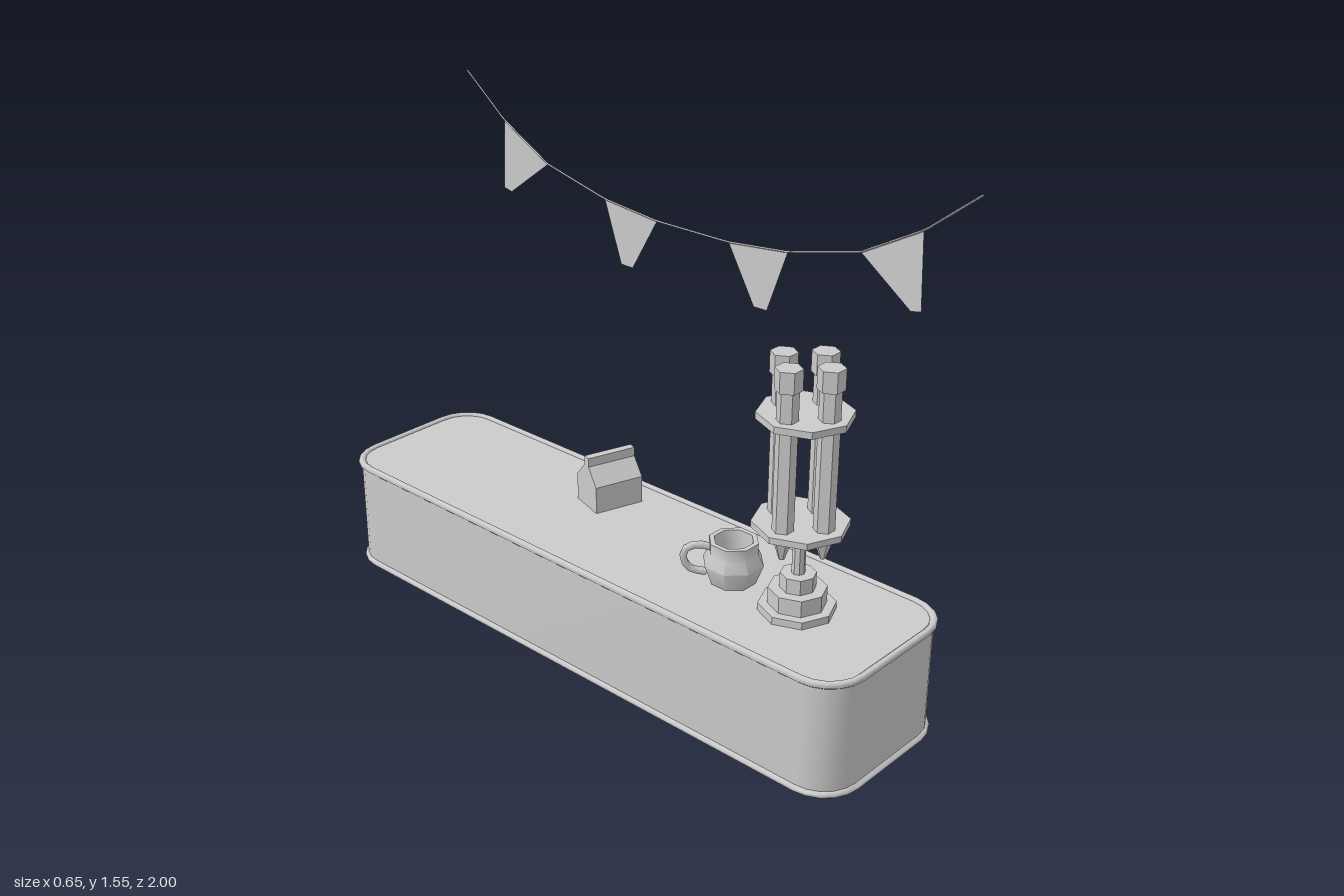
import * as THREE from 'three';
import { toCreasedNormals } from 'three/addons/utils/BufferGeometryUtils.js';

const grey = new THREE.MeshStandardMaterial({ color: 0xcccccc });
const flat = new THREE.MeshStandardMaterial({ color: 0xcccccc, flatShading: true });
const thin = new THREE.MeshStandardMaterial({ color: 0xcccccc, side: THREE.DoubleSide });

const CX = -0.0525, HX = 0.2625, HZ = 0.99, TOP = 0.36;

function add(parent, name, geometry, material = grey, x = 0, y = 0, z = 0) {
  const mesh = new THREE.Mesh(geometry, material);
  mesh.name = name;
  mesh.position.set(x, y, z);
  parent.add(mesh);
  return mesh;
}

// Upright cylinder spanning y0..y1
function column(parent, name, r0, r1, y0, y1, sides, x = 0, z = 0, turn = 0) {
  const mesh = add(parent, name, new THREE.CylinderGeometry(r1, r0, y1 - y0, sides), flat, x, (y0 + y1) / 2, z);
  mesh.rotation.y = turn;
  return mesh;
}

// Rounded rectangle in plan, grown by an offset; points are [x, z]
function outline(offset) {
  const r = 0.115, steps = 5, points = [];
  [[1, 1], [-1, 1], [-1, -1], [1, -1]].forEach(([sx, sz], q) => {
    for (let i = 0; i <= steps; i++) {
      const a = (q + i / steps) * Math.PI / 2;
      points.push([
        CX + sx * (HX - r) + Math.cos(a) * (r + offset),
        sz * (HZ - r) + Math.sin(a) * (r + offset)]);
    }
  });
  return points;
}

// Skin a list of [offset, y] rings around the counter outline
function loft(profile) {
  const positions = [], index = [], n = outline(0).length;
  for (const [offset, y] of profile) outline(offset).forEach(([x, z]) => positions.push(x, y, z));
  for (let j = 0; j < profile.length - 1; j++) {
    for (let i = 0; i < n; i++) {
      const k = (i + 1) % n;
      const a = j * n + i, b = j * n + k, c = a + n, d = b + n;
      index.push(a, c, b, b, c, d);
    }
  }
  const g = new THREE.BufferGeometry();
  g.setAttribute('position', new THREE.Float32BufferAttribute(positions, 3));
  g.setIndex(index);
  return toCreasedNormals(g, 0.9);
}

function makeCounter() {
  const counter = new THREE.Group();
  counter.name = 'counter';
  add(counter, 'counterWall', loft([[0, 0.005], [0, TOP]]), thin);
  const top = new THREE.ShapeGeometry(new THREE.Shape(outline(0).map(([x, z]) => new THREE.Vector2(x, -z))));
  top.rotateX(-Math.PI / 2);
  add(counter, 'counterTop', top, thin, 0, TOP - 0.002);
  // Rounded trim bands at the foot and the top edge
  for (const [name, y] of [['bottomTrim', 0.01], ['topTrim', 0.355]]) {
    const ring = [];
    for (let i = 0; i <= 8; i++) {
      const a = i / 8 * Math.PI * 2 + Math.PI / 8;
      ring.push([-0.001 + 0.0119 * Math.cos(a), y + 0.0108 * Math.sin(a)]);
    }
    add(counter, name, loft(ring), thin);
  }
  return counter;
}

// Octagonal plate with a dome, facing +x
function makeLamp(z) {
  const lamp = new THREE.Group();
  lamp.name = 'domeLamp';
  const plate = new THREE.CylinderGeometry(0.13, 0.13, 0.035, 8);
  add(lamp, 'lampPlate', plate, flat, 0, 0.0175);
  add(lamp, 'lampDome', new THREE.SphereGeometry(0.086, 8, 5, 0, Math.PI * 2, 0, Math.PI / 2), grey, 0, 0.034);
  lamp.rotation.z = -Math.PI / 2;
  lamp.position.set(0.206, 0.187, z);
  return lamp;
}

function makeDispenser() {
  const g = new THREE.Group();
  g.name = 'dispenser';
  column(g, 'base', 0.11, 0.11, TOP - 0.003, 0.38, 8);
  column(g, 'middleTier', 0.083, 0.083, 0.38, 0.43, 8);
  column(g, 'upperTier', 0.051, 0.051, 0.43, 0.475, 8);
  column(g, 'stem', 0.019, 0.019, 0.47, 0.63, 8);
  column(g, 'lowerPlate', 0.136, 0.136, 0.619, 0.638, 8);
  column(g, 'upperPlate', 0.133, 0.133, 0.941, 0.961, 8);
  // Four tubes with caps and tapered nozzles
  for (let i = 0; i < 4; i++) {
    const x = 0.078 * Math.cos(i * Math.PI / 2), z = 0.078 * Math.sin(i * Math.PI / 2);
    column(g, 'nozzle', 0.008, 0.031, 0.549, 0.62, 6, x, z, Math.PI / 2);
    column(g, 'tube', 0.03, 0.03, 0.62, 1.05, 6, x, z, Math.PI / 2);
    column(g, 'cap', 0.038, 0.038, 1.047, 1.108, 6, x, z, Math.PI / 2);
  }
  g.position.set(-0.053, 0, 0.66);
  return g;
}

function makeMug() {
  const g = new THREE.Group();
  g.name = 'mug';
  const profile = [[0, 0], [0.068, 0], [0.09, 0.06], [0.073, 0.095], [0.073, 0.129],
    [0.058, 0.129], [0.056, 0.09], [0.052, 0.02], [0, 0.02]].map(p => new THREE.Vector2(...p));
  const body = new THREE.LatheGeometry(profile, 8, Math.PI / 8);
  add(g, 'mugBody', toCreasedNormals(body, 0.85), thin);
  const path = new THREE.CatmullRomCurve3([[0.066, 0.107], [0.105, 0.116], [0.138, 0.1], [0.142, 0.07],
    [0.12, 0.038], [0.076, 0.028]].map(([x, y]) => new THREE.Vector3(x, y, 0)));
  add(g, 'mugHandle', new THREE.TubeGeometry(path, 8, 0.011, 6), grey);
  // Handle points to the back right
  g.rotation.y = Math.PI * 0.75;
  g.position.set(-0.053, TOP, 0.43);
  return g;
}

function makeCarton() {
  const g = new THREE.Group();
  g.name = 'carton';
  const end = new THREE.Shape([[-0.06, 0], [0.06, 0], [0.06, 0.087], [0.0125, 0.138], [-0.0125, 0.138], [-0.06, 0.087]]
    .map(p => new THREE.Vector2(...p)));
  const body = new THREE.ExtrudeGeometry(end, { depth: 0.161, bevelEnabled: false });
  body.translate(0, 0, -0.0805).rotateY(Math.PI / 2);
  add(g, 'cartonBody', body, flat);
  add(g, 'cartonFin', new THREE.BoxGeometry(0.161, 0.032, 0.025), flat, 0, 0.151);
  g.rotation.y = -0.3;
  g.position.set(0.057, TOP, -0.16);
  return g;
}

function makeBunting() {
  const g = new THREE.Group();
  g.name = 'bunting';
  const half = [[0.957, 1.545], [0.793, 1.415], [0.597, 1.308], [0.353, 1.249], [0.138, 1.227]];
  const points = [...half, ...half.slice().reverse().map(([z, y]) => [-z, y])]
    .map(([z, y]) => new THREE.Vector3(0, y, z));
  const cord = new THREE.CurvePath();
  for (let i = 1; i < points.length; i++) cord.add(new THREE.LineCurve3(points[i - 1], points[i]));
  add(g, 'cord', new THREE.TubeGeometry(cord, 72, 0.003, 4), flat);
  // Flags hang from alternate cord spans, mirrored about the middle
  const flags = [
    [[0.79, 1.413], [0.597, 1.308], [0.767, 1.183], [0.8, 1.19]],
    [[0.353, 1.249], [0.138, 1.227], [0.237, 1.055], [0.285, 1.056]]];
  for (const side of [1, -1]) for (const flag of flags) {
    const geometry = new THREE.ShapeGeometry(new THREE.Shape(flag.map(([z, y]) => new THREE.Vector2(-z * side, y))));
    geometry.rotateY(Math.PI / 2);
    add(g, 'flag', geometry, thin);
  }
  g.position.x = 0.244;
  return g;
}

export function createModel() {
  const model = new THREE.Group();
  model.name = 'barCounter';
  model.add(makeCounter(), makeDispenser(), makeMug(), makeCarton(), makeBunting());
  for (let i = 0; i < 4; i++) model.add(makeLamp(0.668 - i * 0.444));
  return model;
}
